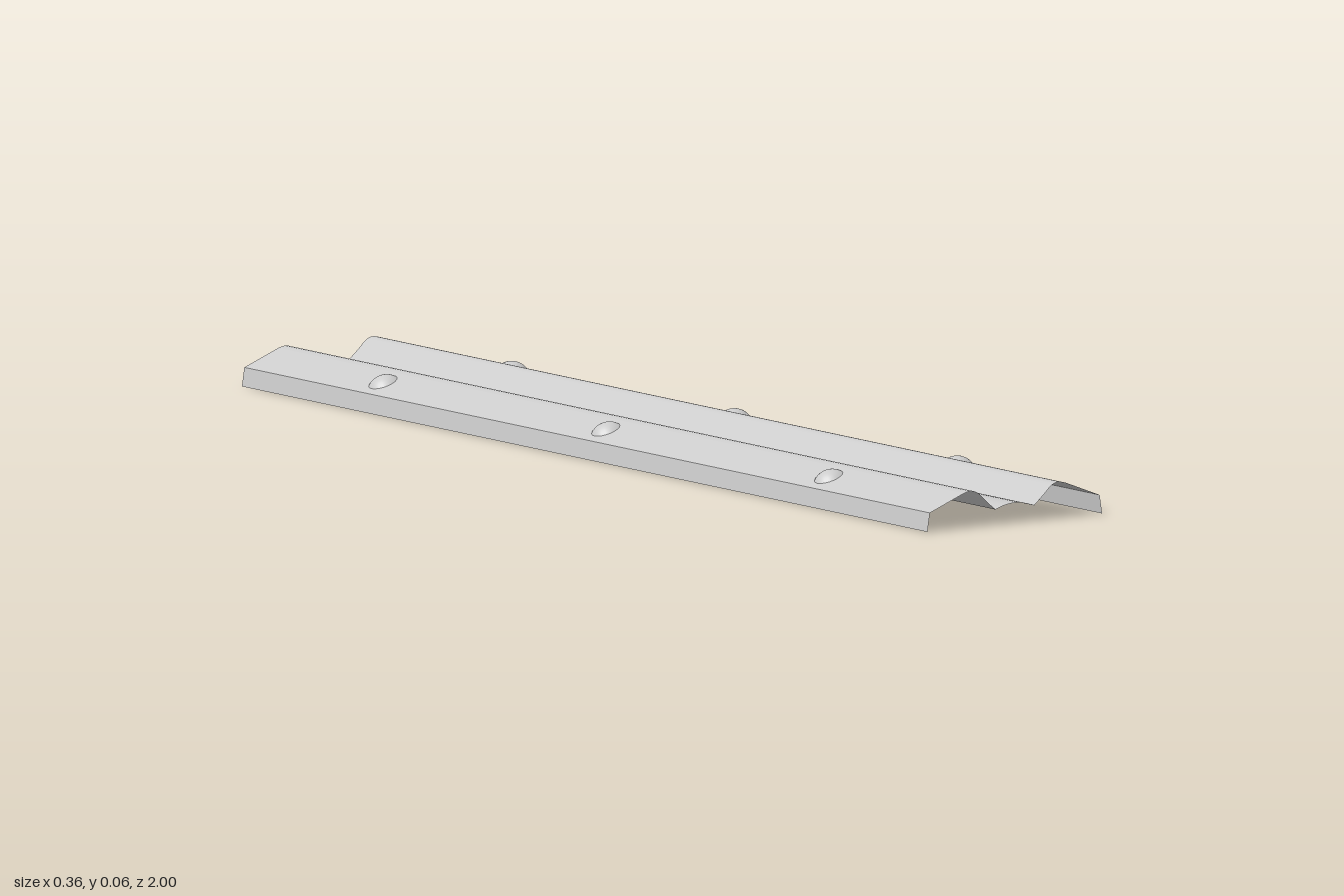
import * as THREE from 'three';

const LENGTH = 2;
const material = new THREE.MeshStandardMaterial({ color: 0xcccccc, side: THREE.DoubleSide });

// A thin sheet strip: a smooth cross-section (left to right) swept along z
function strip(name, points, segments) {
  const curve = new THREE.CatmullRomCurve3(points.map(([x, y]) => new THREE.Vector3(x, y, 0)));
  const geo = new THREE.PlaneGeometry(1, LENGTH, segments, 1).rotateX(-Math.PI / 2);
  const pos = geo.attributes.position;
  for (let i = 0; i < pos.count; i++) {
    const p = curve.getPointAt(THREE.MathUtils.clamp(pos.getX(i) + 0.5, 0, 1));
    pos.setXYZ(i, p.x, p.y, pos.getZ(i));
  }
  geo.computeVertexNormals();
  const mesh = new THREE.Mesh(geo, material);
  mesh.name = name;
  return mesh;
}

// Shallow domed bolt head with a flat underside
function boltGeometry(radius, height) {
  const sphere = (radius ** 2 + height ** 2) / (2 * height);
  const angle = Math.asin(radius / sphere);
  const profile = [new THREE.Vector2(0, 0), new THREE.Vector2(radius, 0)];
  for (let i = 0; i <= 6; i++) {
    const a = angle * (1 - i / 6);
    profile.push(new THREE.Vector2(sphere * Math.sin(a), sphere * Math.cos(a) - sphere + height));
  }
  return new THREE.LatheGeometry(profile, 20);
}

export function createModel() {
  const group = new THREE.Group();

  // Half cross-section on the +x side, from the middle outwards
  const wave = [[0.04, 0.026], [0.06, 0.043], [0.077, 0.058], [0.09, 0.062], [0.105, 0.059]];
  const slope = [[0.105, 0.059], [0.175, 0.032]];
  const lip = [[0.175, 0.032], [0.18, 0]];
  const mirror = (pts) => pts.map(([x, y]) => [-x, y]).reverse();

  // Raised middle rib between the two creases
  group.add(strip('middleRib', [[-0.04, 0.026], [-0.02, 0.032], [0, 0.034], [0.02, 0.032], [0.04, 0.026]], 10));

  const bolt = boltGeometry(0.0254, 0.0115);
  for (const [side, s] of [['left', 1], ['right', -1]]) {
    const place = (pts) => (s > 0 ? pts : mirror(pts));
    group.add(
      strip(side + 'Wave', place(wave), 12),
      strip(side + 'Slope', place(slope), 1),
      strip(side + 'Lip', place(lip), 1)
    );
    // Bolt heads seated on the slope
    for (const z of [-0.65, 0, 0.65]) {
      const head = new THREE.Mesh(bolt, material);
      head.name = side + 'Bolt';
      head.position.set(s * 0.1365, 0.0466, z);
      head.rotation.z = -s * Math.atan2(0.027, 0.07);
      group.add(head);
    }
  }
  return group;
}
